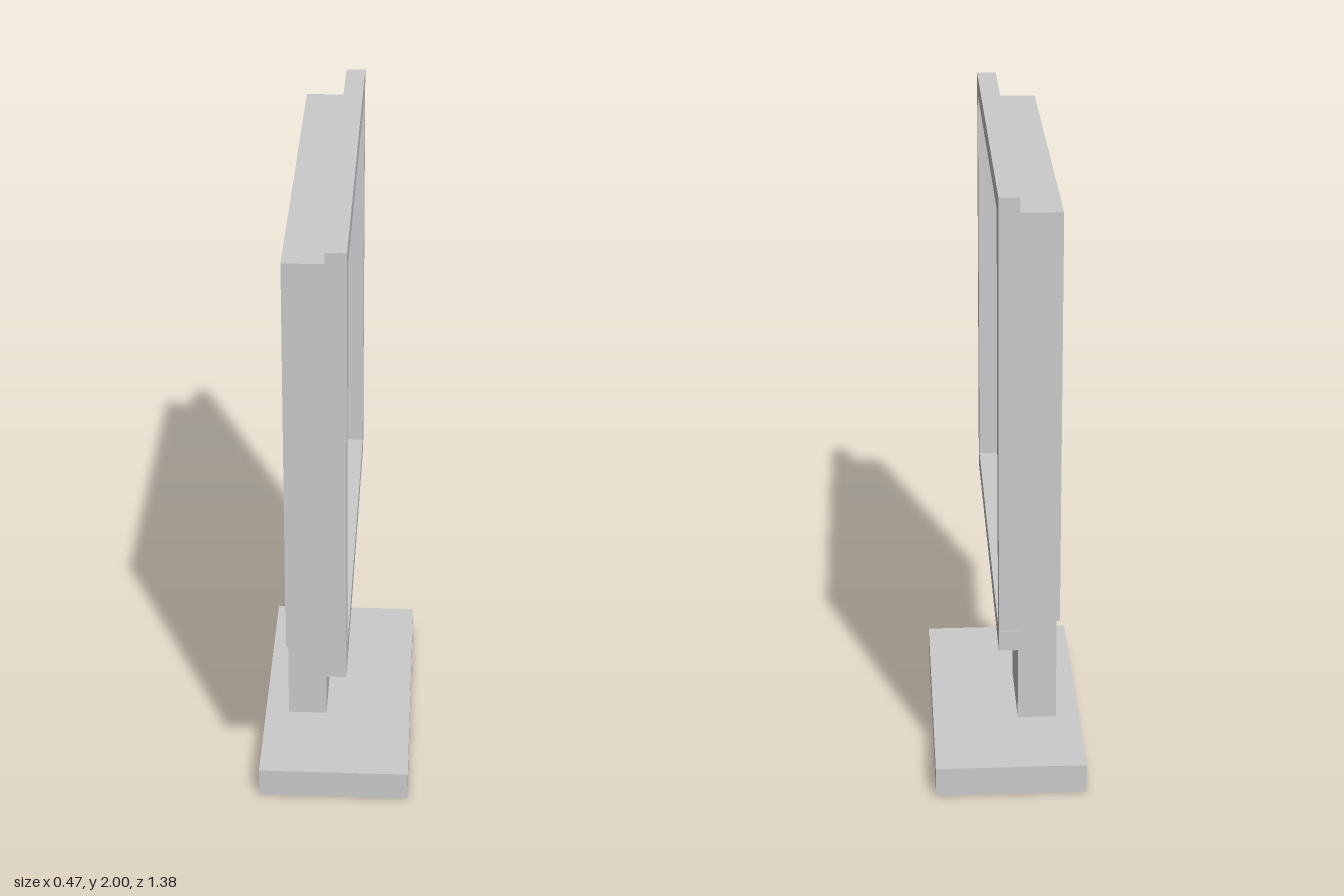
import * as THREE from 'three';

const material = new THREE.MeshStandardMaterial({ color: 0xcccccc, flatShading: true });

// Box given by its lower and upper limits on each axis
function block(name, [x0, x1], [y0, y1], [z0, z1]) {
  const mesh = new THREE.Mesh(new THREE.BoxGeometry(x1 - x0, y1 - y0, z1 - z0), material);
  mesh.name = name;
  mesh.position.set((x0 + x1) / 2, (y0 + y1) / 2, (z0 + z1) / 2);
  return mesh;
}

export function createModel() {
  const monitor = new THREE.Group();
  monitor.name = 'monitor';

  // Stand: flat foot and upright post behind the screen
  const stand = new THREE.Group();
  stand.name = 'stand';
  stand.add(
    block('base', [-0.235, 0.235], [0, 0.095], [-0.47, 0.47]),
    block('post', [-0.16, -0.037], [0.095, 0.71], [-0.16, 0.153]),
  );

  // Housing, whose +x face is the recessed screen
  const housing = block('screenHousing', [-0.133, -0.01], [0.683, 1.938], [-0.628, 0.632]);

  // Bezel: four bars that overlap in turn around the screen
  const bezel = new THREE.Group();
  bezel.name = 'bezel';
  const depth = [-0.01, 0.05];
  bezel.add(
    block('bezelBottom', depth, [0.622, 0.683], [-0.69, 0.632]),
    block('bezelFarSide', depth, [0.622, 2], [0.632, 0.693]),
    block('bezelTop', depth, [1.938, 2], [-0.628, 0.632]),
    block('bezelNearSide', depth, [0.683, 2], [-0.687, -0.628]),
  );

  monitor.add(stand, housing, bezel);
  return monitor;
}
